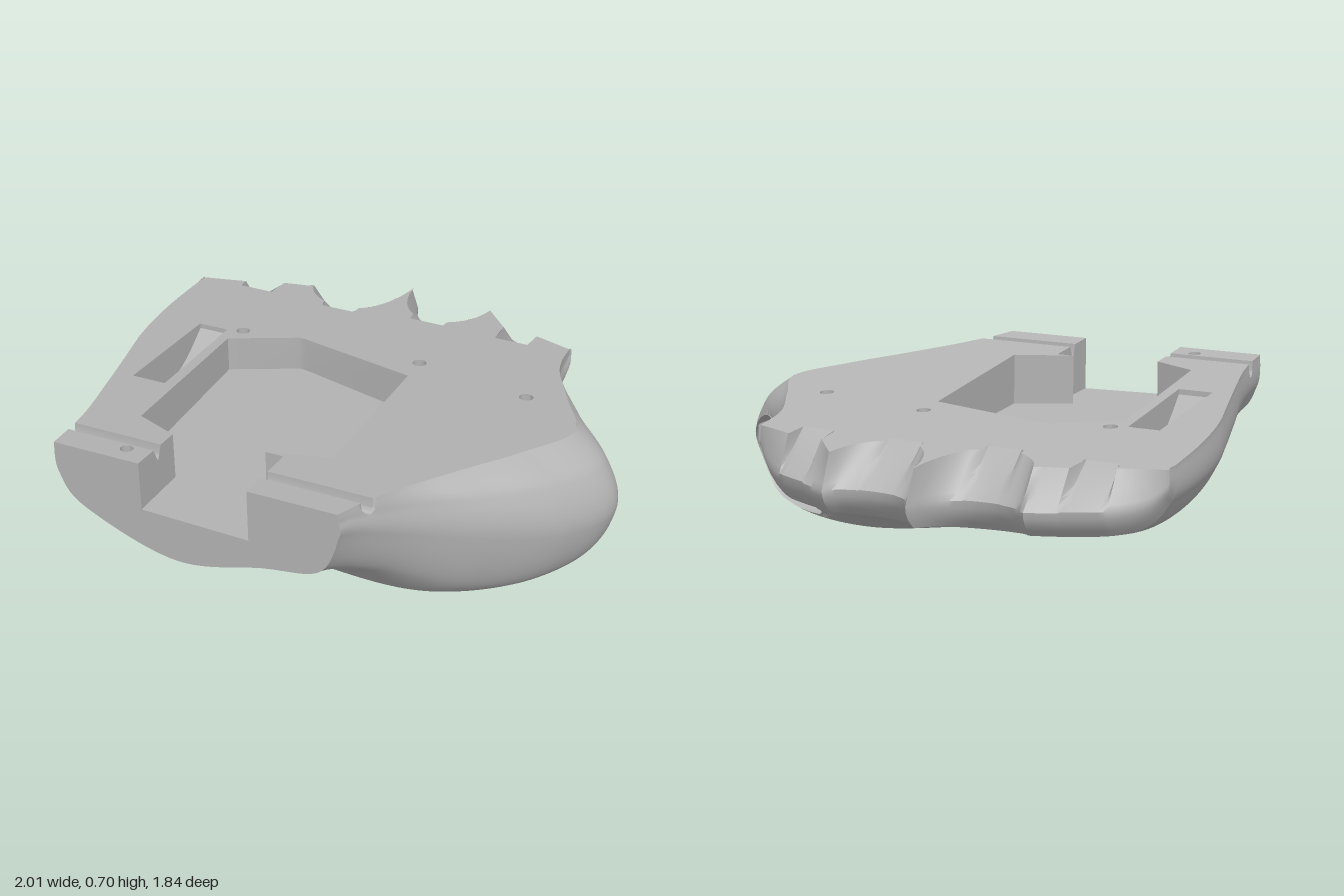
import * as THREE from 'three';
import { toCreasedNormals } from 'three/addons/utils/BufferGeometryUtils.js';

const mix = THREE.MathUtils.lerp;
const FRONT = 0.92, G0 = 0.765, G1 = 0.815;

// Sloping top plane, the same with a round cord groove near the front, and the pocket floor
const planeY = (x, z) => 0.58 + 0.126 * z + 0.03 * x;
function topY(x, z) {
  const k = (z - 0.79) / 0.025;
  return planeY(x, z) - (Math.abs(k) < 0.999 ? 0.015 + 0.042 * Math.sqrt(1 - k * k) : 0);
}
const floorY = (x, z) => 0.485 + 0.078 * (z - FRONT);

// Cross-sections from front to back, 0.23 apart:
// left edge, right edge, widest right, low left, low middle, low right, height of widest
const SECTIONS = [
  [-0.78, 0.32, 0.325, 0.42, 0.30, 0.38, 0.61],
  [-0.80, 0.42, 0.45, 0.37, 0.26, 0.26, 0.5],
  [-0.85, 0.56, 0.70, 0.29, 0.18, 0.065, 0.40],
  [-0.905, 0.71, 0.91, 0.24, 0.12, 0.004, 0.33],
  [-0.96, 0.82, 1.0, 0.22, 0.105, 0.025, 0.32],
  [-0.99, 0.71, 0.80, 0.22, 0.15, 0.11, 0.33],
  [-1, 0.595, 0.60, 0.23, 0.19, 0.18, 0.4],
  [-1, 0.57, 0.57, 0.26, 0.235, 0.25, 0.4],
  [-1, 0.57, 0.57, 0.29, 0.26, 0.27, 0.4],
];

// Smooth blend of the section values at any z
function params(z) {
  const f = THREE.MathUtils.clamp((FRONT - z) / 0.23, 0, 7.999), i = Math.floor(f), t = f - i;
  const row = (k) => SECTIONS[THREE.MathUtils.clamp(k, 0, 8)];
  return row(i).map((b, n) => {
    const a = row(i - 1)[n], c = row(i + 1)[n], d = row(i + 2)[n];
    return b + 0.5 * t * (c - a + t * (2 * a - 5 * b + 4 * c - d + t * (3 * (b - c) + d - a)));
  });
}

// Underside profile from the left top edge, round the bottom, to the right top edge
function section(z, t) {
  const [xl, xr, xm, yl, ym, yr, yw] = params(z), w = xm - xl;
  const tl = planeY(xl, z), tr = planeY(xr, z);
  const pts = [
    [xl, tl], [xl + 0.01, mix(tl, yl, 0.5)], [xl + 0.1 * w, yl], [xl + 0.42 * w, ym],
    [xl + 0.73 * w, yr], [xl + 0.93 * w, mix(yr, yw, 0.25)], [xm, yw],
    [mix(xm, xr, 0.3), mix(yw, tr, 0.65)], [xr, tr],
  ].map(([x, y]) => new THREE.Vector2(x, y));
  const p = new THREE.SplineCurve(pts).getPoint(t);
  p.y = Math.min(p.y, topY(p.x, z));
  return p;
}

// Rear outline: sloping outer knuckles, two finger scallops and four hinge notches
function polyline(pts, x) {
  if (x <= pts[0][0]) return pts[0][1];
  for (let i = 1; i < pts.length; i++) {
    const [x0, z0] = pts[i - 1], [x1, z1] = pts[i];
    if (x <= x1) return mix(z0, z1, (x - x0) / (x1 - x0));
  }
  return pts[pts.length - 1][1];
}
function scallop(x, x0, x1, z0, z1, apex) {
  const k = (x - x0) / (x1 - x0);
  return mix(mix(z0, z1, k), apex, Math.sqrt(Math.max(0, 1 - (2 * k - 1) ** 2)));
}
const NOTCHES = [[-0.76, -0.57], [-0.385, -0.55], [-0.02, -0.6], [0.345, -0.59]];
function rearLow(x) {
  if (x < -0.57) return polyline([[-1, -0.57], [-0.82, -0.71], [-0.57, -0.83]], x);
  if (x < -0.195) return scallop(x, -0.57, -0.195, -0.83, -0.94, -0.72);
  if (x < 0.165) return scallop(x, -0.195, 0.165, -0.95, -0.88, -0.79);
  return polyline([[0.165, -0.87], [0.4, -0.76], [0.57, -0.63]], x);
}
function rearTop(x) {
  let z;
  if (x < -0.57) z = polyline([[-1, -0.57], [-0.85, -0.61], [-0.68, -0.675], [-0.57, -0.7]], x);
  else if (x < -0.195) z = scallop(x, -0.57, -0.195, -0.74, -0.9, -0.57);
  else if (x < 0.165) z = scallop(x, -0.195, 0.165, -0.91, -0.84, -0.615);
  else z = polyline([[0.165, -0.82], [0.27, -0.7], [0.42, -0.68], [0.57, -0.63]], x);
  for (const [c, edge] of NOTCHES) if (Math.abs(x - c) < 0.072) z = Math.max(z, edge);
  return z;
}

// Thumb socket: an oval opening on the slanted side, in coordinates
// n (outward), b (sideways) and y
const socketPoint = (n, b, y) => new THREE.Vector3(0.8 * n + 0.6 * (b + 0.36), y + 0.27, 0.8 * (b + 0.36) - 0.6 * n);
function socketCoords(p) {
  const n = 0.8 * p.x - 0.6 * p.z, b = 0.6 * p.x + 0.8 * p.z - 0.36, y = p.y - 0.27;
  const q = n > 0.55 ? Math.hypot(b / 0.24, y / 0.195) : 9;
  return { n, b, y, q, angle: Math.atan2(y / 0.195, b / 0.24) };
}

// Grid surface from a rule f(u, v); triangles wholly inside an opening are left out
function grid(nu, nv, f, open = () => false) {
  const pos = [], idx = [], cut = [];
  for (let j = 0; j <= nv; j++) for (let i = 0; i <= nu; i++) {
    const p = f(i / nu, j / nv);
    pos.push(...p);
    cut.push(open(p));
  }
  for (let j = 0; j < nv; j++) for (let i = 0; i < nu; i++) {
    const a = j * (nu + 1) + i, d = a + nu + 1;
    for (const tri of [[a, a + 1, d + 1], [a, d + 1, d]]) if (!tri.every((k) => cut[k])) idx.push(...tri);
  }
  const g = new THREE.BufferGeometry();
  g.setAttribute('position', new THREE.Float32BufferAttribute(pos, 3));
  g.setIndex(idx);
  return toCreasedNormals(g, 0.7);
}

// Face from an outline of [x, z] points, laid on a height rule
function plate(outline, holes, height) {
  const to2 = (l) => l.map(([x, z]) => new THREE.Vector2(x, -z));
  const shape = new THREE.Shape(to2(outline));
  shape.holes = holes.map((h) => new THREE.Path(to2(h)));
  const g = new THREE.ShapeGeometry(shape).rotateX(-Math.PI / 2), p = g.attributes.position;
  for (let i = 0; i < p.count; i++) p.setY(i, height(p.getX(i), p.getZ(i)));
  g.computeVertexNormals();
  return g;
}

// Upright wall hanging from the top along a path
const wall = (path, low) => grid(path.length - 1, 1, (u, v) => {
  const [x, z] = path[Math.round(u * (path.length - 1))];
  return [x, v ? low(x, z) : topY(x, z), z];
});

export function createModel() {
  const group = new THREE.Group();
  const grey = new THREE.MeshStandardMaterial({ color: 0xb4b4b4, side: THREE.DoubleSide });
  const add = (name, geometry) => {
    const m = new THREE.Mesh(geometry, grey);
    m.name = name;
    group.add(m);
  };
  const xl = (z) => params(z)[0], xr = (z) => params(z)[1];
  const N = 260, TUCK = 0.06;

  // Rounded underside; points near the socket opening snap to its rim
  const starts = Array.from({ length: N + 1 }, (_, i) => rearLow(section(-0.7, i / N).x));
  const rim = [];
  add('palmShell', grid(N, 150, (u, v) => {
    const z = mix(starts[Math.round(u * N)] + TUCK, FRONT, v), s = section(z, u);
    const p = new THREE.Vector3(s.x, s.y, z), c = socketCoords(p);
    if (Math.abs(c.q - 1) < 0.08) {
      rim.push([c.angle, c.n]);
      p.copy(socketPoint(c.n, c.b / c.q, c.y / c.q));
    }
    return p.toArray();
  }, ([x, y, z]) => socketCoords({ x, y, z }).q < 1.001));

  // Thumb socket: straight wall closing to a rounded end
  rim.sort((a, b) => a[0] - b[0]);
  const rimLoop = [...rim.slice(-3).map(([a, n]) => [a - 2 * Math.PI, n]), ...rim, ...rim.slice(0, 3).map(([a, n]) => [a + 2 * Math.PI, n])];
  const rimN = (a) => {
    const near = rimLoop.filter((r) => Math.abs(r[0] - a) < 0.09);
    return near.length ? near.reduce((sum, r) => sum + r[1], 0) / near.length : polyline(rimLoop, a);
  };
  add('thumbSocket', grid(72, 14, (u, v) => {
    const a = mix(-Math.PI, Math.PI, u), k = Math.max(0, (v - 0.3) / 0.7) * Math.PI / 2;
    const n = v < 0.3 ? mix(rimN(a), 0.52, v / 0.3) : 0.52 - 0.12 * Math.sin(k);
    return socketPoint(n, 0.24 * Math.cos(a) * Math.cos(k), 0.195 * Math.sin(a) * Math.cos(k)).toArray();
  }));

  // Knuckle wall with finger scallops, tucked in at the bottom
  add('knuckleWall', grid(N, 10, (u, v) => {
    const z0 = starts[Math.round(u * N)], s = section(z0 + TUCK, u), zt = rearTop(s.x);
    const z = v < 0.6 ? mix(zt, z0, v / 0.6) : z0 + TUCK * ((v - 0.6) / 0.4) ** 2;
    return [s.x, mix(topY(s.x, zt), s.y, v), z];
  }));

  // Pocket outline, open to the front
  const pocket = [
    [-0.02, FRONT], [-0.02, G1], [-0.02, 0.79], [-0.02, G0], [-0.02, 0.645], [-0.09, 0.645],
    [0.14, 0.575], [0.11, -0.13], [-0.37, -0.235], [-0.4, -0.235], [-0.64, -0.1], [-0.61, 0.61],
    [-0.44, 0.68], [-0.44, G0], [-0.44, 0.79], [-0.44, G1], [-0.44, FRONT],
  ];
  add('pocketWalls', wall(pocket, floorY));
  add('pocketFloor', plate(pocket, [], floorY));

  // Openings in the top: a long slot and screw holes
  const slot = [[-0.8, 0.345], [-0.665, 0.345], [-0.68, -0.17], [-0.8, -0.17]];
  const circle = (x, z, r) => Array.from({ length: 20 }, (_, i) => {
    const a = (i / 20) * Math.PI * 2;
    return [x + r * Math.cos(a), z - r * Math.sin(a)];
  });
  const screws = [[-0.62, -0.19], [0.105, -0.25], [0.57, -0.17]].map(([x, z]) => circle(x, z, 0.027));
  const frontScrew = circle(-0.53, 0.845, 0.024);
  const closed = (l) => [...l, l[0]];
  const below = (d) => (x, z) => planeY(x, z) - d;
  add('slotWalls', wall(closed(slot), below(0.16)));
  add('slotFloor', grid(16, 1, (u, v) => {
    const z = mix(-0.17, 0.345, u), x = mix(-0.8, mix(-0.68, -0.665, u), v);
    return [x, planeY(x, z) - 0.02 - 0.13 * Math.sin(Math.PI * u), z];
  }));
  [...screws, frontScrew].forEach((hole, i) => {
    const depth = [0.32, 0.36, 0.11, 0.26][i];
    add('screwHoleWall', wall(closed(hole), below(depth)));
    add('screwHoleFloor', plate(hole, [], below(depth)));
  });

  // Flat top behind the groove
  const outline = [];
  for (let i = 0; i <= 40; i++) { const z = mix(-0.57, G0, i / 40); outline.push([xl(z), z]); }
  outline.push(...pocket.slice(3, 14).reverse());
  for (let i = 0; i <= 60; i++) { const z = mix(G0, -0.63, i / 60); outline.push([xr(z), z]); }
  for (let i = 1; i < 300; i++) { const x = mix(0.57, -1, i / 300); outline.push([x, rearTop(x)]); }
  add('palmTop', plate(outline, [slot, ...screws], planeY));

  // Front bars and the groove behind them
  for (const [a, b, holes] of [[xl, () => -0.44, [frontScrew]], [() => -0.02, xr, []]]) {
    add('wristBar', plate([[a(G1), G1], [a(FRONT), FRONT], [b(FRONT), FRONT], [b(G1), G1]], holes, planeY));
    add('cordGroove', grid(16, 1, (u, v) => {
      const z = mix(G0, G1, u), x = mix(a(z), b(z), v);
      return [x, topY(x, z), z];
    }));
  }

  // Wrist end face with the notch
  const face = Array.from({ length: 61 }, (_, i) => section(FRONT, i / 60));
  for (const [x, y] of [[-0.02, topY(-0.02, FRONT)], [-0.02, 0.485], [-0.44, 0.485], [-0.44, topY(-0.44, FRONT)]])
    face.push(new THREE.Vector2(x, y));
  add('wristFace', new THREE.ShapeGeometry(new THREE.Shape(face)).translate(0, 0, FRONT));

  return group;
}
